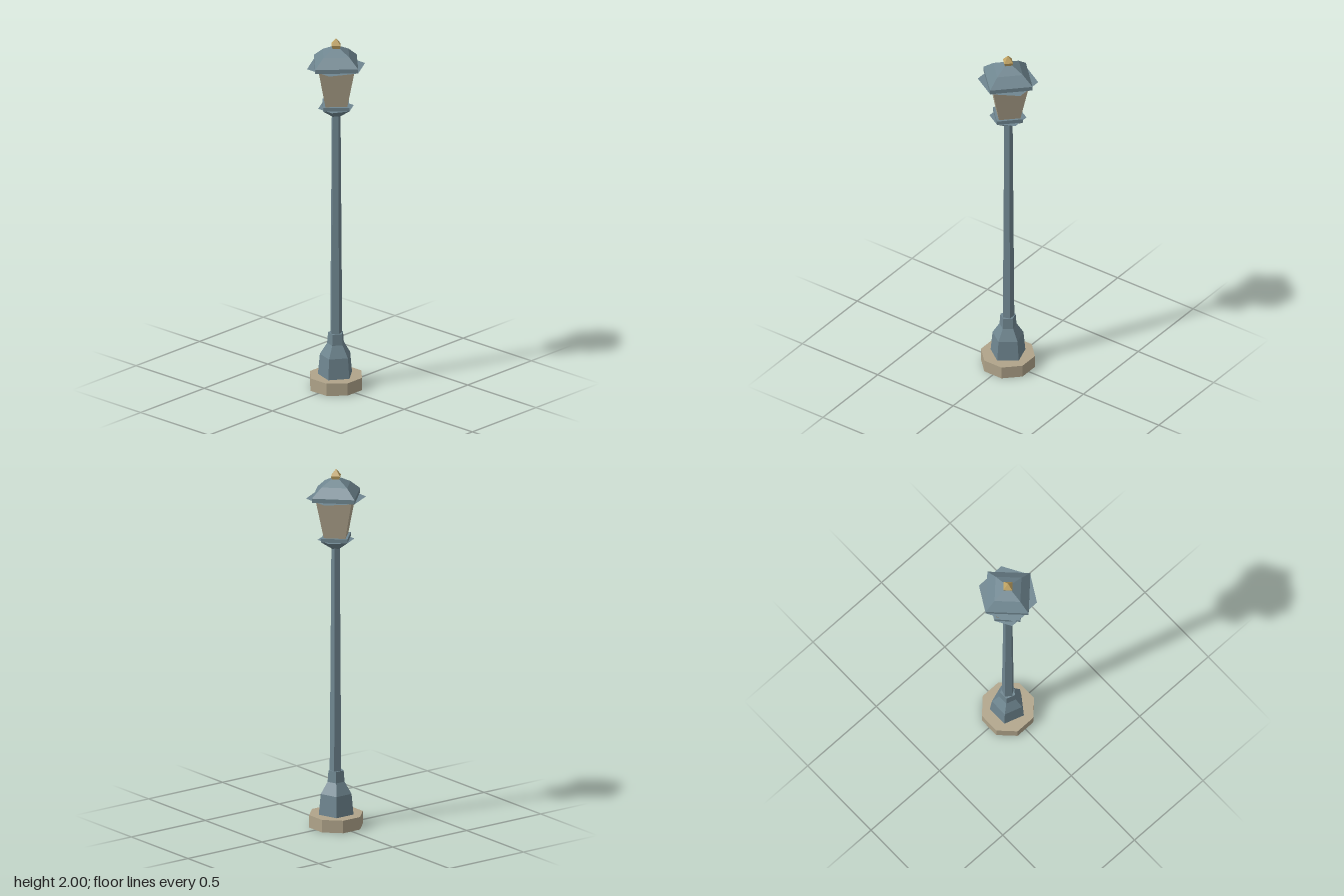
import * as THREE from 'three';

const paint = (name, color) => {
  const m = new THREE.MeshStandardMaterial({ color, flatShading: true, side: THREE.DoubleSide });
  m.name = name;
  return m;
};

export function createModel() {
  const lamp = new THREE.Group();
  lamp.name = 'streetLamp';

  const slate = paint('slate blue metal', 0x6f8690);
  const stone = paint('stone', 0xb0a48a);
  const pane = paint('frosted pane', 0xb3a890);
  const brass = paint('brass', 0xc2a564);

  const add = (name, geometry, material) => {
    const mesh = new THREE.Mesh(geometry, material);
    mesh.name = name;
    lamp.add(mesh);
    return mesh;
  };

  // Faceted turning: [radius, height] points, first corner at +z plus a turn
  const turned = (name, points, sides, material, turn = 0) => {
    const profile = points.map(([r, y]) => new THREE.Vector2(r, y));
    return add(name, new THREE.LatheGeometry(profile, sides).rotateY(turn), material);
  };

  // Thin six-sided plate with corners at +x and -x
  const plate = (name, radius, y) =>
    add(name, new THREE.CircleGeometry(radius, 6).rotateX(-Math.PI / 2).translate(0, y, 0), slate);

  // Eight-sided plinth, open underneath
  turned('plinth', [[0.149, 0], [0.149, 0.07], [0, 0.07]], 8, stone, Math.PI / 8);

  // Five-sided pedestal with a corner at +x
  turned('pedestal',
    [[0.098, 0.07], [0.087, 0.185], [0.048, 0.25], [0.043, 0.312], [0, 0.312]],
    5, slate, Math.PI / 2);

  // Slim tapering post
  turned('post', [[0.034, 0.31], [0.025, 1.56]], 5, slate);

  // Cup and collar holding the lantern
  turned('lanternCup', [[0, 1.555], [0.025, 1.555], [0.1, 1.605], [0.1, 1.626], [0, 1.626]], 4, slate);
  plate('collarPlate', 0.1, 1.605);

  // Four flared panes
  turned('lanternPanes', [[0.083, 1.626], [0.136, 1.839]], 4, pane);

  // Roof with an upright rim, and its soffit plate
  turned('roof', [[0.163, 1.839], [0.163, 1.862], [0.098, 1.913], [0.03, 1.946], [0, 1.946]], 4, slate);
  plate('roofPlate', 0.163, 1.839);

  // Pointed finial
  turned('finial', [[0.027, 1.944], [0.034, 1.963], [0, 2]], 4, brass);

  return lamp;
}
